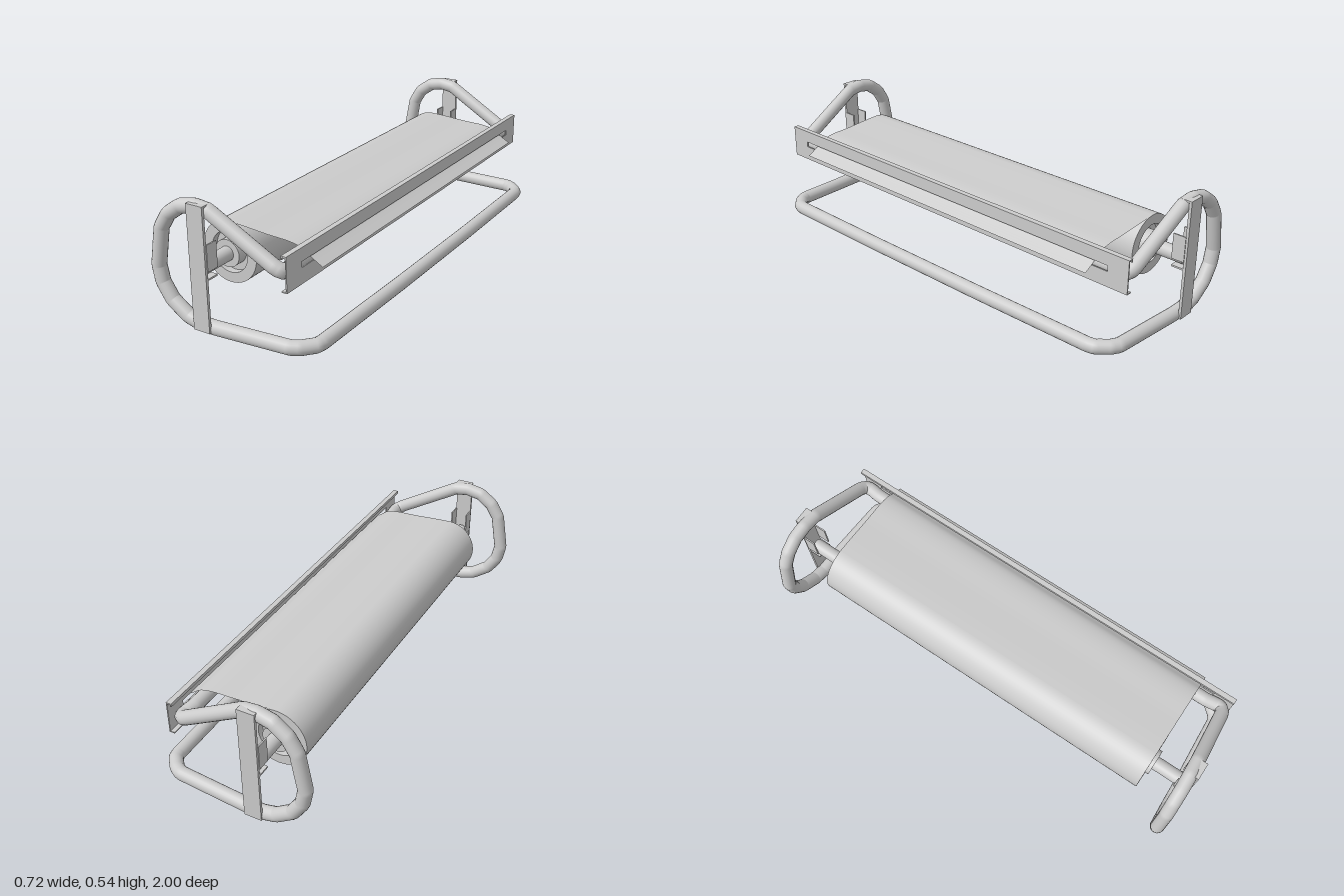
import * as THREE from 'three';

const mat = new THREE.MeshStandardMaterial({ color: 0xcccccc });
const sheetMat = new THREE.MeshStandardMaterial({ color: 0xcccccc, side: THREE.DoubleSide });
const ROLL = { x: -0.122, y: 0.272, r: 0.127, half: 0.81 };

export function createModel() {
  const model = new THREE.Group();
  const add = (name, geometry, x = 0, y = 0, z = 0, material = mat) => {
    const mesh = new THREE.Mesh(geometry, material);
    mesh.name = name;
    mesh.position.set(x, y, z);
    model.add(mesh);
    return mesh;
  };
  const box = (name, x0, x1, y0, y1, z0, z1) =>
    add(name, new THREE.BoxGeometry(x1 - x0, y1 - y0, z1 - z0),
      (x0 + x1) / 2, (y0 + y1) / 2, (z0 + z1) / 2);

  // Bent tube frame: one half of the closed loop, then its mirror image
  const half = [
    [0.215, 0.33, 0.86], [0.224, 0.326, 0.915], [0.215, 0.331, 0.938], [0.19, 0.346, 0.946],
    [-0.085, 0.503, 0.96], [-0.145, 0.511, 0.963], [-0.21, 0.498, 0.966],
    [-0.27, 0.455, 0.968], [-0.307, 0.395, 0.97], [-0.335, 0.235, 0.97],
    [-0.321, 0.165, 0.97], [-0.278, 0.1, 0.97], [-0.205, 0.049, 0.968],
    [-0.145, 0.032, 0.966], [-0.08, 0.031, 0.964], [0.25, 0.037, 0.943],
    [0.282, 0.037, 0.925], [0.32, 0.037, 0.882], [0.326, 0.037, 0.855], [0.332, 0.037, 0.3],
  ].map((p) => new THREE.Vector3(...p));
  const mirrored = half.map((p) => new THREE.Vector3(p.x, p.y, -p.z)).reverse();
  const path = new THREE.CatmullRomCurve3([...half, ...mirrored], true, 'catmullrom', 0);
  path.arcLengthDivisions = 2000;
  add('tubeFrame', new THREE.TubeGeometry(path, 600, 0.0295, 20, true));

  // Paper roll with a recessed ring at both ends
  const h = ROLL.half;
  const profile = [[0.056, -h + 0.03], [0.085, -h + 0.03], [0.085, -h], [ROLL.r, -h],
    [ROLL.r, h], [0.085, h], [0.085, h - 0.03], [0.056, h - 0.03]];
  // Each edge is its own lathe so that the rims stay sharp
  for (let i = 0; i < profile.length - 1; i++) {
    const pts = [profile[i], profile[i + 1]].map((p) => new THREE.Vector2(...p));
    add('paperRoll', new THREE.LatheGeometry(pts, 48), ROLL.x, ROLL.y, 0, sheetMat).rotation.x = Math.PI / 2;
  }

  // Spindle and the hubs that carry the roll
  const rod = (name, r, length, z) =>
    add(name, new THREE.CylinderGeometry(r, r, length, 32), ROLL.x, ROLL.y, z).rotation.x = Math.PI / 2;
  rod('spindle', 0.03, 1.94, 0);
  rod('hubs', 0.057, 1.65, 0);

  // Loose sheet running from the top of the roll through the slot
  const sheet = new THREE.CatmullRomCurve3([
    [-0.122, 0.399], [-0.06, 0.396], [0.06, 0.387], [0.17, 0.381],
    [0.22, 0.368], [0.254, 0.344], [0.304, 0.315],
  ].map(([x, y]) => new THREE.Vector3(x, y, 0)));
  const sheetGeo = new THREE.PlaneGeometry(1, 2 * h, 32, 1);
  const pos = sheetGeo.attributes.position;
  for (let i = 0; i < pos.count; i++) {
    const p = sheet.getPoint(THREE.MathUtils.clamp(pos.getX(i) + 0.5, 0, 1));
    pos.setXYZ(i, p.x, p.y, -pos.getY(i));
  }
  sheetGeo.computeVertexNormals();
  add('paperSheet', sheetGeo, 0, 0, 0, sheetMat);

  // Slotted tear-off plate with folded edges
  const rect = (Type, w, y0, y1) => {
    const s = new Type();
    s.moveTo(-w, y0); s.lineTo(w, y0); s.lineTo(w, y1); s.lineTo(-w, y1); s.closePath();
    return s;
  };
  const plate = rect(THREE.Shape, 0.967, 0.265, 0.407);
  plate.holes.push(rect(THREE.Path, 0.875, 0.329, 0.353));
  const plateGeo = new THREE.ExtrudeGeometry(plate, { depth: 0.005, bevelEnabled: false });
  plateGeo.rotateY(-Math.PI / 2);
  add('tearPlate', plateGeo, 0.259, 0, 0);
  box('plateTopFold', 0.236, 0.257, 0.401, 0.407, -0.967, 0.967);
  box('plateTopLip', 0.236, 0.241, 0.393, 0.403, -0.967, 0.967);
  box('plateBottomFold', 0.236, 0.257, 0.265, 0.27, -0.967, 0.967);

  // Upright side straps and the tabs cradling the spindle
  for (const side of [1, -1]) {
    const span = (a, b) => (side > 0 ? [a, b] : [-b, -a]);
    box('sideStrap', -0.155, -0.08, 0.02, 0.531, ...span(0.988, 1));
    box('strapTopFold', -0.155, -0.08, 0.523, 0.531, ...span(0.955, 0.99));
    box('strapBottomFold', -0.155, -0.08, 0.02, 0.028, ...span(0.955, 0.99));
    for (const x of [-0.158, -0.083]) box('spindleTab', x, x + 0.006, 0.272, 0.38, ...span(0.935, 0.99));
    box('spindleRest', -0.155, -0.08, 0.236, 0.243, ...span(0.935, 0.99));
  }
  return model;
}
